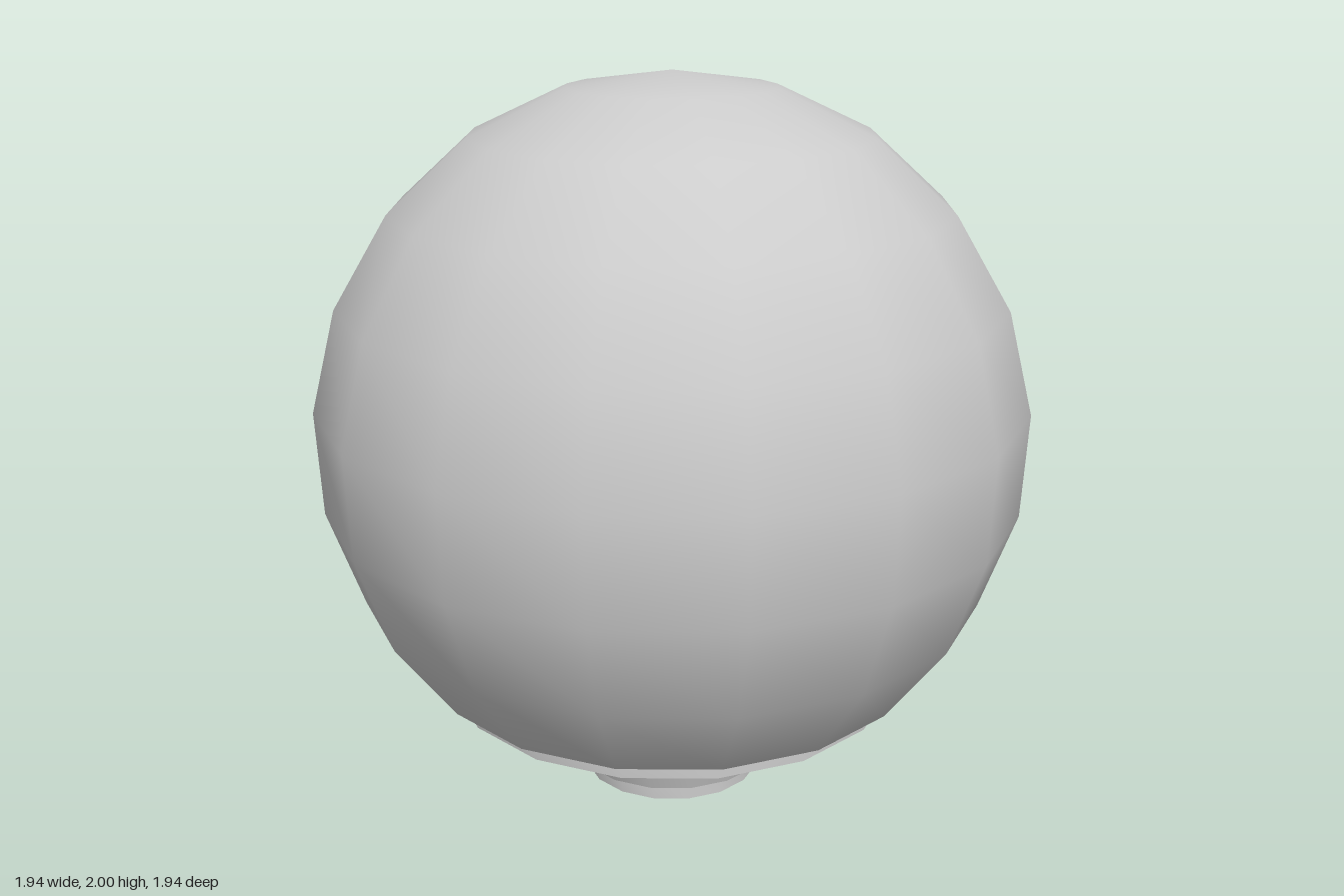
import * as THREE from 'three';
import { toCreasedNormals } from 'three/addons/utils/BufferGeometryUtils.js';

const SIDES = 16;
const material = new THREE.MeshStandardMaterial({ color: 0xcccccc, side: THREE.DoubleSide });

// Turned part from [radius, y] points, listed bottom to top along the outside
function turned(name, profile) {
  const points = profile.map(([r, y]) => new THREE.Vector2(r, y));
  const geometry = toCreasedNormals(new THREE.LatheGeometry(points, SIDES), 0.6);
  const mesh = new THREE.Mesh(geometry, material);
  mesh.name = name;
  return mesh;
}

export function createModel() {
  const group = new THREE.Group();
  group.name = 'globe';

  const R = 0.976;
  const centreY = 2 - R;
  const floorY = centreY - R * Math.SQRT1_2;
  const rimY = 0.275;

  // Smooth globe, cut off three quarters of the way down
  const globe = new THREE.Mesh(
    new THREE.SphereGeometry(R, SIDES, 8, 0, Math.PI * 2, 0, Math.PI * 0.75), material);
  globe.name = 'globeShell';
  globe.position.y = centreY;
  group.add(globe);

  // Flat underside closing the globe
  group.add(turned('underside', [[0.2, floorY], [R * Math.SQRT1_2, floorY]]));

  // Two concentric collars under the globe
  for (const [name, inner, outer] of [['outerCollar', 0.567, 0.63], ['innerCollar', 0.425, 0.49]]) {
    group.add(turned(name, [[inner, floorY], [inner, rimY], [outer, rimY], [outer, floorY]]));
  }

  // Hollow tapered neck with a narrower foot ring
  group.add(turned('neck', [
    [0, floorY], [0.215, floorY], [0.215, 0], [0.25, 0],
    [0.25, 0.053], [0.285, 0.053], [0.373, floorY],
  ]));

  return group;
}
